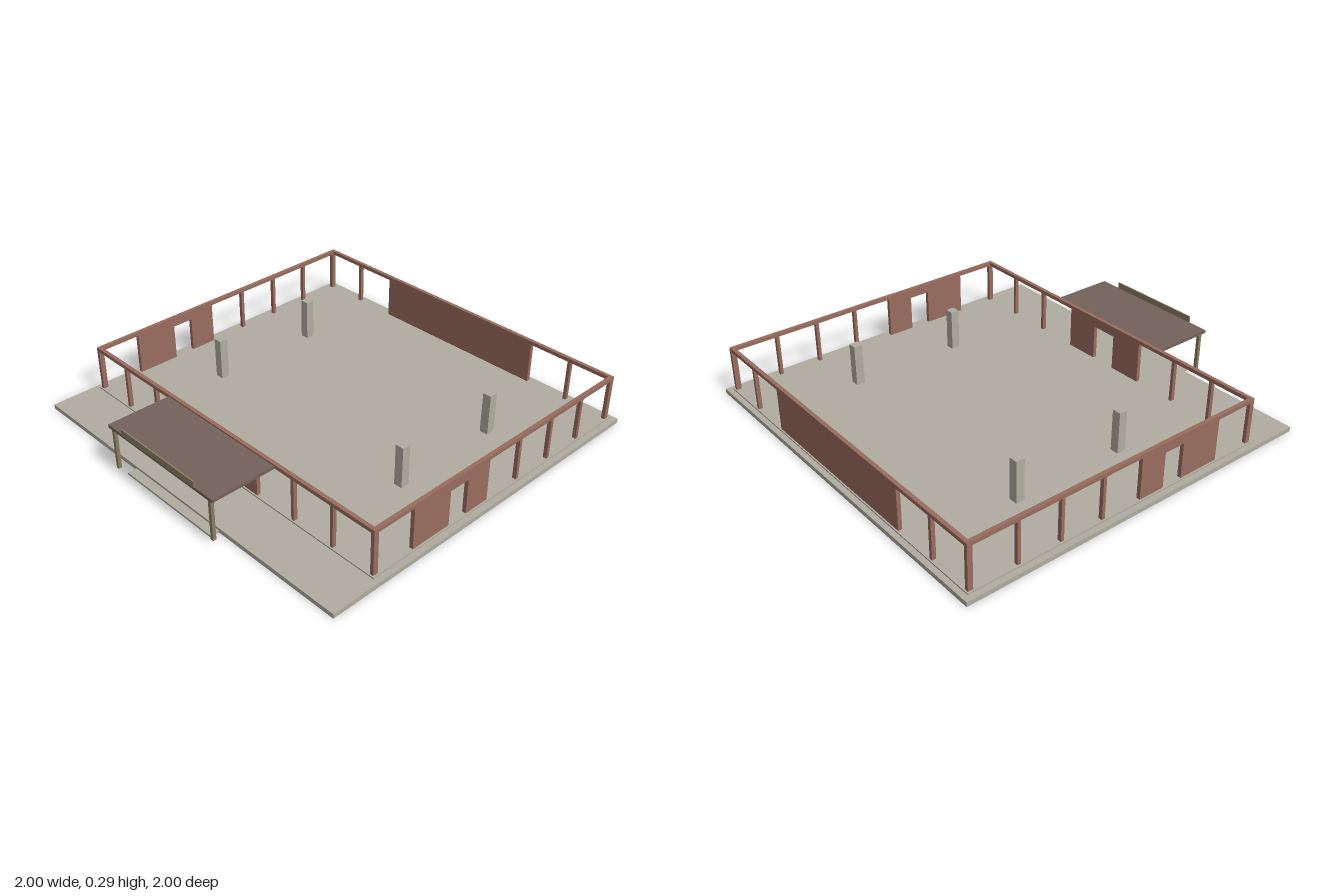
import * as THREE from 'three';

export function createModel() {
  const model = new THREE.Group();
  const mat = (name, color) => {
    const m = new THREE.MeshStandardMaterial({ color });
    m.name = name;
    return m;
  };
  const concrete = mat('concrete', 0xb0aca0);
  const brick = mat('brick red', 0x9a6c5f);
  const roofBrown = mat('roof brown', 0x74625b);
  const olive = mat('olive', 0x8c7d64);

  // Box given by its extents on each axis
  const box = (parent, name, material, [x0, x1], [y0, y1], [z0, z1]) => {
    const mesh = new THREE.Mesh(new THREE.BoxGeometry(x1 - x0, y1 - y0, z1 - z0), material);
    mesh.position.set((x0 + x1) / 2, (y0 + y1) / 2, (z0 + z1) / 2);
    mesh.name = name;
    parent.add(mesh);
  };
  const group = (name) => {
    const g = new THREE.Group();
    g.name = name;
    model.add(g);
    return g;
  };
  const around = (c, w) => [c - w / 2, c + w / 2];

  const X = 0.962, ZB = -0.965, ZF = 0.663, T = 0.02;
  const floorY = 0.03, beamY = 0.245, topY = 0.264, doorY = 0.212;
  const wallY = [floorY, beamY];

  // Ground slab, front apron, raised floor and entrance step
  const base = group('base');
  box(base, 'slab', concrete, [-1, 1], [0, 0.023], [-1, 0.67]);
  box(base, 'apron', concrete, [-1, 1], [0, 0.023], [0.67, 0.92]);
  box(base, 'floor', concrete, [-0.97, 0.97], [0.023, floorY], [-0.972, 0.67]);
  box(base, 'step', concrete, [-0.3, 0.3], [0, 0.011], [0.92, 0.967]);

  // Four interior columns
  const columns = group('columns');
  for (const x of [-0.63, 0.63])
    for (const z of [-0.45, 0.145])
      box(columns, 'column', concrete, around(x, 0.045), wallY, around(z, 0.045));

  // Ring beam
  const beams = group('ringBeam');
  for (const [z0, z1] of [[ZB, ZB + T], [ZF - T, ZF]])
    box(beams, 'crossBeam', brick, [-X, X], [beamY, topY], [z0, z1]);
  for (const s of [-1, 1])
    box(beams, 'sideBeam', brick, around(s * (X - T / 2), T), [beamY, topY], [ZB + T, ZF - T]);

  // Posts of the front and back walls, with the corners
  const posts = group('posts');
  for (const s of [-1, 1]) {
    for (const z of [ZB + T / 2, ZF - T / 2]) {
      box(posts, 'cornerPost', brick, around(s * (X - 0.009), 0.018), wallY,
        z < 0 ? [ZB, ZB + 0.026] : [ZF - 0.026, ZF]);
      box(posts, 'wallPost', brick, around(s * 0.72, 0.017), wallY, around(z, T));
      if (z > 0) box(posts, 'frontPost', brick, around(s * 0.482, 0.017), wallY, around(z, T));
    }
    // Posts of the side walls behind the doors
    for (const z of [-0.258, -0.485, -0.712])
      box(posts, 'sidePost', brick, around(s * (X - T / 2), T), wallY, around(z, 0.017));
  }

  // Back wall panel
  box(model, 'backPanel', brick, [-0.49, 0.49], wallY, [ZB, ZB + T]);

  // Front wall panels around the doorway
  const front = group('frontEntrance');
  const fz = [ZF - T, ZF];
  box(front, 'panel', brick, [-0.25, -0.07], wallY, fz);
  box(front, 'panel', brick, [0.07, 0.25], wallY, fz);
  box(front, 'lintel', brick, [-0.07, 0.07], [doorY, beamY], fz);

  // Side wall panels around the doorways
  for (const s of [-1, 1]) {
    const side = group(s < 0 ? 'rightEntrance' : 'leftEntrance');
    const sx = around(s * (X - T / 2), T);
    box(side, 'panel', brick, sx, wallY, [0.207, 0.43]);
    box(side, 'panel', brick, sx, wallY, [-0.045, 0.095]);
    box(side, 'lintel', brick, sx, [doorY, beamY], [0.095, 0.207]);
  }

  // Entrance canopy with its two posts and blank fascia board
  const canopy = group('canopy');
  box(canopy, 'canopyRoof', roofBrown, [-0.37, 0.37], [0.24, 0.256], [ZF, 0.995]);
  for (const s of [-1, 1])
    box(canopy, 'canopyPost', olive, around(s * 0.343, 0.017), [0.026, 0.24], [0.973, 0.99]);
  box(canopy, 'fasciaBoard', olive, [-0.258, 0.258], [0.256, 0.288], [0.993, 1]);

  return model;
}
